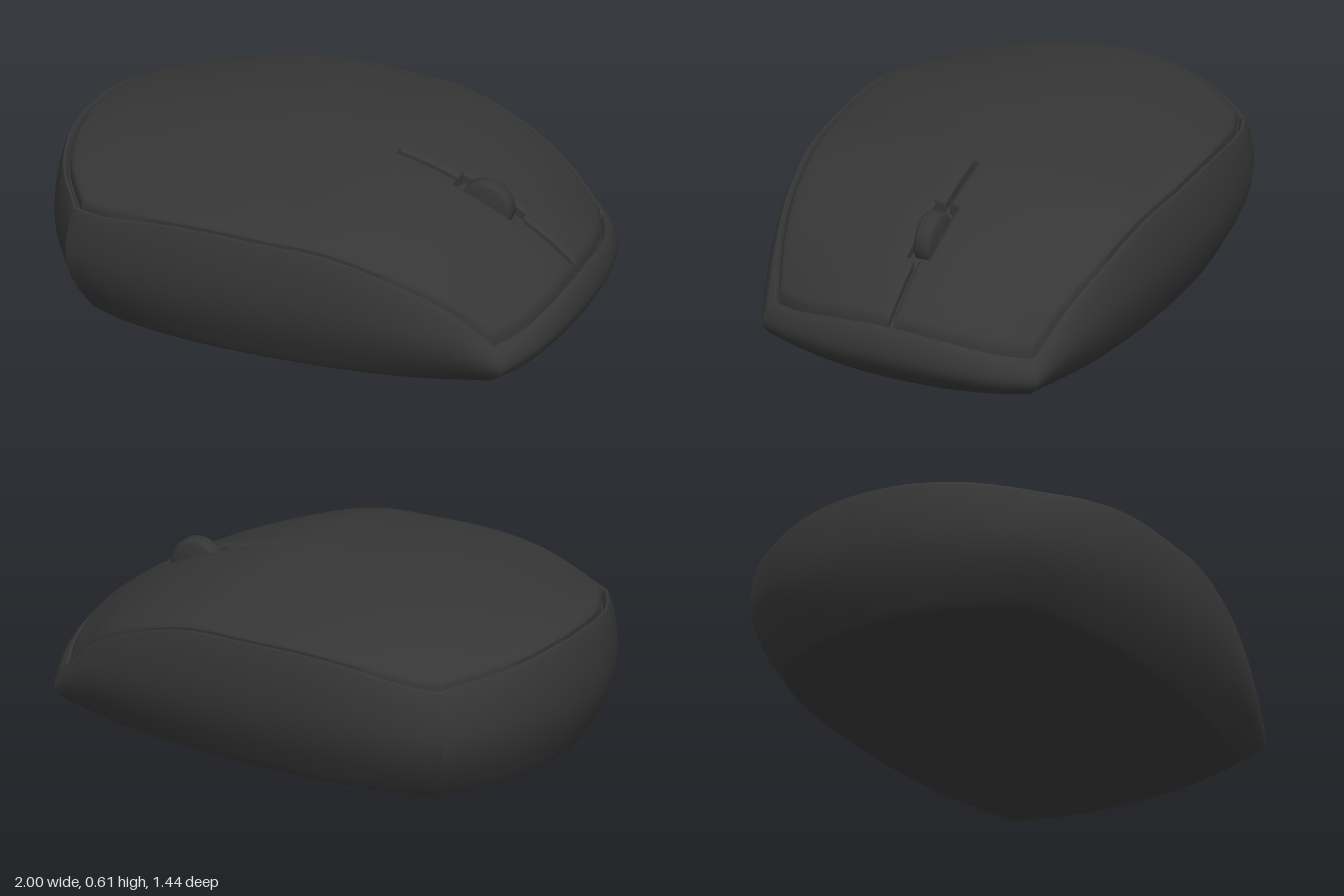
import * as THREE from 'three';
import { toCreasedNormals } from 'three/addons/utils/BufferGeometryUtils.js';

// Smooth curve through [x, y] pairs, returned as a function of x
function smooth(pts) {
  const slope = i => {
    const a = pts[Math.max(i - 1, 0)], b = pts[Math.min(i + 1, pts.length - 1)];
    return (b[1] - a[1]) / (b[0] - a[0]);
  };
  return x => {
    let i = 0;
    while (i < pts.length - 2 && x > pts[i + 1][0]) i++;
    const [x0, y0] = pts[i], [x1, y1] = pts[i + 1], h = x1 - x0;
    const t = Math.min(1, Math.max(0, (x - x0) / h)), u = 1 - t;
    return y0 * u * u * (1 + 2 * t) + y1 * t * t * (3 - 2 * t)
      + h * t * u * (slope(i) * u - slope(i + 1) * t);
  };
}

// Plan outline: flank, tail and nose
const sideZ = smooth([[-0.79, 0.6], [-0.65, 0.657], [-0.42, 0.705], [-0.15, 0.722], [0.2, 0.71], [0.5, 0.67], [0.7, 0.617], [0.88, 0.55]]);
const backX = smooth([[0, -1], [0.2, -0.98], [0.4, -0.915], [0.6, -0.79]]);
const frontX = smooth([[0, 1], [0.2, 0.988], [0.4, 0.945], [0.55, 0.88]]);

// Height of the arched back: ridge line minus a sideways fall
const ridge = smooth([[-1, 0.49], [-0.93, 0.51], [-0.8, 0.545], [-0.5, 0.59], [-0.2, 0.61], [0, 0.608], [0.25, 0.595], [0.5, 0.525], [0.7, 0.437], [0.85, 0.345], [0.95, 0.262], [1, 0.212]]);
const fall = smooth([[-1, 0.36], [-0.77, 0.34], [-0.4, 0.21], [0, 0.2], [0.25, 0.21], [0.5, 0.25], [0.7, 0.35], [0.86, 0.6], [1, 0.66]]);
const topY = (x, z) => ridge(x) - fall(x) * z * z;

const inset = ([x, z], d) => [x * (1 - d), z * (1 - d / 0.72)];
const lerp = THREE.MathUtils.lerp;

function outline() {
  const half = [];
  for (let i = 0; i < 10; i++) half.push([backX(0.06 * i), 0.06 * i]);
  for (let i = 0; i < 28; i++) {
    const x = lerp(-0.79, 0.88, i / 28);
    half.push([x, sideZ(x)]);
  }
  for (let i = 0; i <= 10; i++) half.push([frontX(0.55 - 0.055 * i), 0.55 - 0.055 * i]);
  return half.concat(half.slice(1, -1).reverse().map(([x, z]) => [x, -z]));
}

function meshFrom(name, tris, material, crease) {
  const g = new THREE.BufferGeometry();
  g.setAttribute('position', new THREE.Float32BufferAttribute(tris.flat(), 3));
  const mesh = new THREE.Mesh(toCreasedNormals(g, crease), material);
  mesh.name = name;
  return mesh;
}
const quad = (out, a, b, c, d) => out.push(a, b, c, a, c, d);

// Lower shell: flat base, bulging wall, rim, then a recessed deck under the cover
function lowerShell(material) {
  const loop = outline(), rings = [];
  const rimY = p => topY(...inset(p, 0.03)) - 0.01;
  rings.push(loop.map(() => [0, 0, 0]));
  const wall = [[0, 0.11], [0.012, 0.1], [0.04, 0.091], [0.1, 0.075], [0.22, 0.045], [0.35, 0.02], [0.48, 0.005],
    [0.6, 0], [0.72, 0.003], [0.85, 0.011], [0.96, 0.022], [1, 0.03]];
  for (const [t, d] of wall) {
    rings.push(loop.map(p => {
      const [x, z] = inset(p, d);
      return [x, t * rimY(p), z];
    }));
  }
  for (const [d, drop] of [[0.038, 0.011], [0.045, 0.025], [0.05, 0.045]]) {
    rings.push(loop.map(p => {
      const [x, z] = inset(p, d);
      return [x, topY(x, z) - drop, z];
    }));
  }
  for (let k = 11; k >= 0; k--) {
    rings.push(loop.map(p => {
      const [x, z] = inset(p, 0.05).map(v => v * k / 12);
      return [x, topY(x, z) - 0.045, z];
    }));
  }
  const tris = [], n = loop.length;
  for (let r = 0; r < rings.length - 1; r++) {
    for (let i = 0; i < n; i++) {
      const j = (i + 1) % n;
      quad(tris, rings[r][i], rings[r][j], rings[r + 1][j], rings[r + 1][i]);
    }
  }
  return meshFrom('lowerShell', tris, material, 0.5);
}

// Half width of the gap between the two buttons, wider around the wheel
function gap(x) {
  if (x < 0.262) return 0;
  return x > 0.49 && x < 0.74 ? 0.043 : 0.009;
}

// Top cover: a patch between ridge, flank, tail and nose, with rounded edges and a skirt
function topCover(material) {
  const D = 0.055, ts = [0, 0.004, 0.008, 0.012], vs = [0, 0.008, 0.018, 0.032];
  for (let i = 1; i < 36; i++) ts.push(i / 36);
  for (const x of [0.26, 0.264, 0.489, 0.492, 0.738, 0.741]) ts.push((x / (1 - D) + 1) / 2);
  ts.push(0.988, 0.992, 0.996, 1);
  ts.sort((a, b) => a - b);
  for (let i = 1; i < 12; i++) vs.push(i / 12);
  vs.push(0.968, 0.982, 0.992, 1);

  const point = (t, v) => {
    const sx = lerp(-0.79, 0.88, t);
    const bx = lerp(-1, 1, t), lx = backX(0.6 * v), rx = frontX(0.55 * v);
    const x0 = lerp(bx, sx, v) + lerp(lx, rx, t) - lerp(lerp(-1, 1, t), lerp(-0.79, 0.88, t), v);
    const z0 = v * sideZ(sx) + lerp(0.6 * v, 0.55 * v, t) - v * lerp(0.6, 0.55, t);
    const [x, zi] = inset([x0, z0], D);
    const g = gap(bx * (1 - D));
    const z = zi + g * (1 - v);
    let edge = Math.min(1.8 * t, 1.8 * (1 - t), 0.65 * (1 - v));
    if (g > 0) edge = Math.min(edge, 0.65 * v);
    const round = Math.max(0, 1 - edge / 0.02);
    return [x, topY(x, z) - 0.012 * round * round, z];
  };
  const grid = ts.map(t => vs.map(v => point(t, v)));
  const nt = ts.length - 1, nv = vs.length - 1, half = [];
  for (let i = 0; i < nt; i++) {
    for (let j = 0; j < nv; j++) quad(half, grid[i][j], grid[i][j + 1], grid[i + 1][j + 1], grid[i + 1][j]);
  }
  const border = [...grid[0], ...grid.slice(1).map(c => c[nv]),
    ...grid[nt].slice(0, nv).reverse(), ...grid.slice(0, nt).reverse().map(c => c[0])];
  const low = ([x, y, z]) => [x, y - 0.045, z];
  for (let i = 0; i < border.length - 1; i++) {
    const a = border[i], b = border[i + 1];
    if (a[2] < 0.001 && b[2] < 0.001) continue;
    quad(half, low(a), low(b), b, a);
  }
  // Mirrored half with reversed winding
  const other = [];
  for (let i = 0; i < half.length; i += 3) {
    for (const k of [0, 2, 1]) {
      const [x, y, z] = half[i + k];
      other.push([x, y, -z]);
    }
  }
  return meshFrom('topCover', half.concat(other), material, 0.6);
}

// Scroll wheel with rounded shoulders, and its axle
function scrollWheel(material) {
  const group = new THREE.Group();
  group.name = 'scrollWheel';
  const profile = [[0, -0.034], [0.085, -0.034], [0.094, -0.03], [0.1, -0.02], [0.1, 0.02], [0.094, 0.03], [0.085, 0.034], [0, 0.034]]
    .map(([r, y]) => new THREE.Vector2(r, y));
  const tire = new THREE.Mesh(toCreasedNormals(new THREE.LatheGeometry(profile, 40), 0.7), material);
  tire.name = 'wheelTire';
  const axle = new THREE.Mesh(new THREE.CylinderGeometry(0.02, 0.02, 0.09, 16), material);
  axle.name = 'wheelAxle';
  group.add(tire, axle);
  group.rotation.x = Math.PI / 2;
  group.position.set(0.605, 0.44, 0);
  return group;
}

export function createModel() {
  const charcoal = new THREE.MeshStandardMaterial({ color: 0x363636 });
  charcoal.name = 'charcoal plastic';
  const model = new THREE.Group();
  model.name = 'computerMouse';
  model.add(lowerShell(charcoal), topCover(charcoal), scrollWheel(charcoal));
  return model;
}
